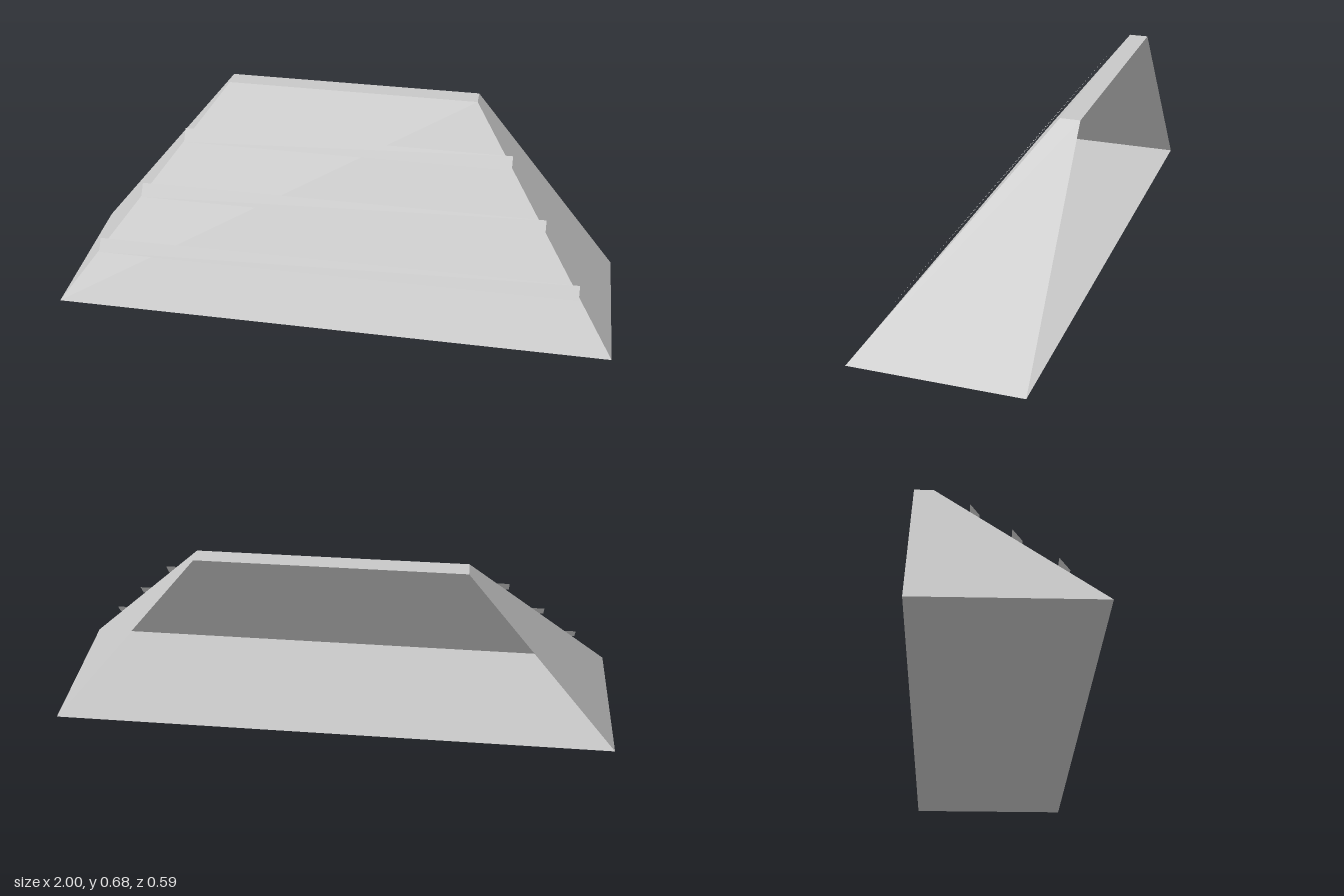
import * as THREE from 'three';

// Open-backed sloped shell made of thin panels, with three trim strips on the front slope.
const H = 0.683, D = 0.295, TOP_X = 0.455, TOP_Z = -0.228;

// Single flat panel from four corners, counter-clockwise seen from outside.
function panel(name, corners, material) {
  const geometry = new THREE.BufferGeometry();
  geometry.setAttribute('position', new THREE.Float32BufferAttribute(corners.flat(), 3));
  geometry.setIndex([0, 1, 2, 0, 2, 3]);
  geometry.computeVertexNormals();
  const mesh = new THREE.Mesh(geometry, material);
  mesh.name = name;
  return mesh;
}

export function createModel() {
  const group = new THREE.Group();
  group.name = 'slopedShell';
  const grey = new THREE.MeshStandardMaterial({ color: 0xc8c8c8, side: THREE.DoubleSide });
  grey.name = 'light grey';

  // Sloped front, top ledge and floor
  group.add(
    panel('frontSlope', [[-1, 0, D], [1, 0, D], [TOP_X, H, TOP_Z], [-TOP_X, H, TOP_Z]], grey),
    panel('topLedge', [[-TOP_X, H, TOP_Z], [TOP_X, H, TOP_Z], [TOP_X, H, -D], [-TOP_X, H, -D]], grey),
    panel('floor', [[-1, 0, -D], [1, 0, -D], [1, 0, D], [-1, 0, D]], grey)
  );

  // Leaning side walls, mirrored
  for (const s of [1, -1]) {
    const corners = [[s, 0, D], [s, 0, -D], [s * TOP_X, H, -D], [s * TOP_X, H, TOP_Z]];
    if (s < 0) corners.reverse();
    group.add(panel(s > 0 ? 'leftWall' : 'rightWall', corners, grey));
  }

  // Trim strips just in front of the slope, overhanging its sides
  const slopeZ = (y) => D + (TOP_Z - D) * (y / H) + 0.016;
  [[0.16, 0.87], [0.332, 0.735], [0.503, 0.598]].forEach(([y, x], i) => {
    const y2 = y + 0.041;
    group.add(panel(`trimStrip${i + 1}`,
      [[-x, y, slopeZ(y)], [x, y, slopeZ(y)], [x, y2, slopeZ(y2)], [-x, y2, slopeZ(y2)]], grey));
  });

  return group;
}
